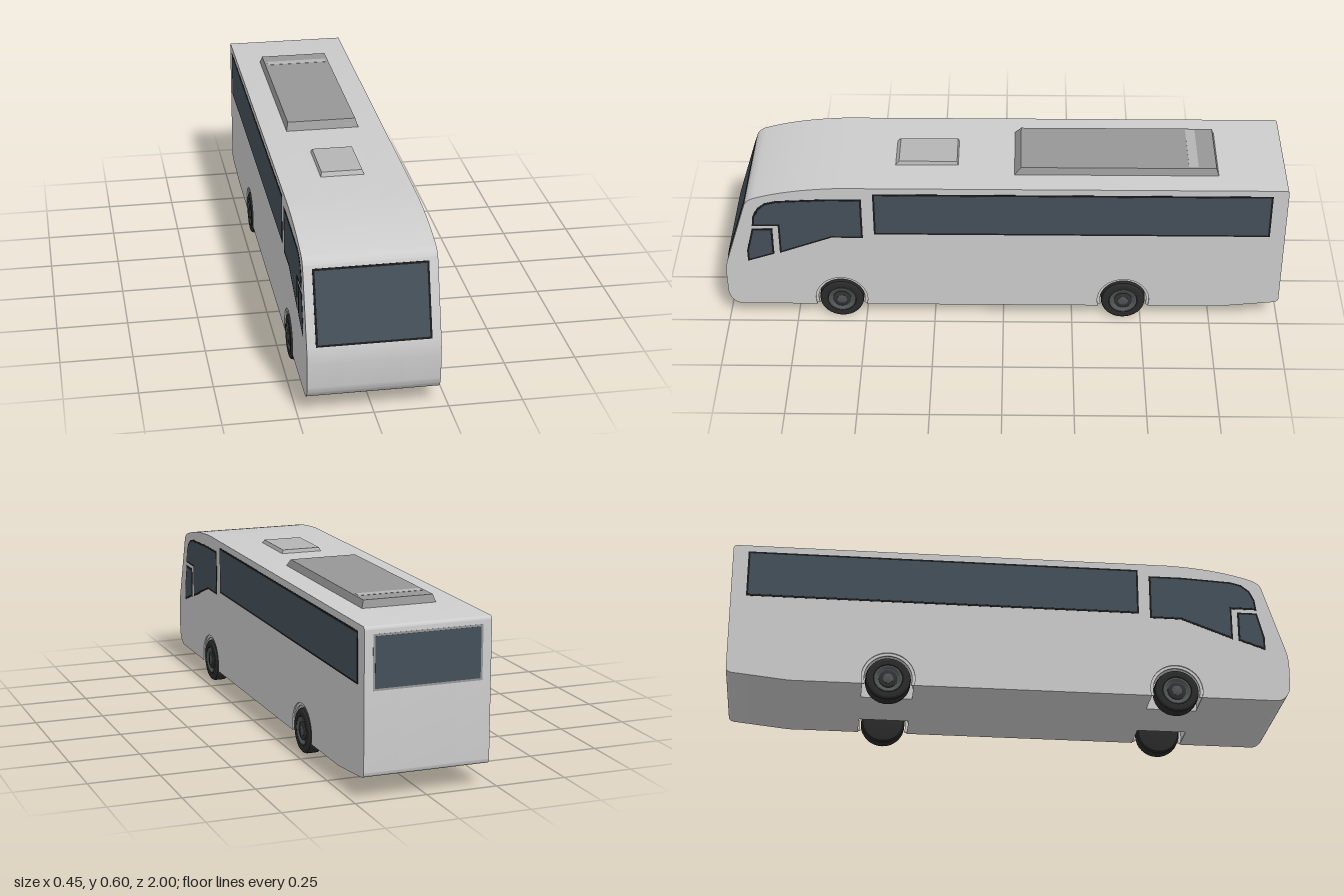
import * as THREE from 'three';
import { toCreasedNormals } from 'three/addons/utils/BufferGeometryUtils.js';

const mat = (color) => new THREE.MeshStandardMaterial({ color });
const BODY = mat(0xcccccc), GLASS = mat(0x444f59), TRIM = mat(0x1b1b1b), TYRE = mat(0x2a2a2a);
const RIM = mat(0x505454), HUB = mat(0x303232), POD = mat(0x969696), HATCH = mat(0xb4b4b4);

const HALF = 0.221, FLOOR = 0.06;
const AXLES = [-0.435, 0.588];
const ARCH_Y = 0.087, ARCH_R = 0.094;

function mesh(name, geometry, material, parent) {
  const m = new THREE.Mesh(geometry, material);
  m.name = name;
  parent.add(m);
  return m;
}

// Extrudes a (z, y) side outline across the width, from x0 to x1
function sideSlab(shape, x0, x1) {
  const g = new THREE.ExtrudeGeometry(shape, { depth: x1 - x0, bevelEnabled: false, curveSegments: 24 });
  g.rotateY(-Math.PI / 2);
  g.translate(x1, 0, 0);
  return toCreasedNormals(g, 0.4);
}

// Body side outline, with or without wheel arches
function bodyShape(arches) {
  const s = new THREE.Shape();
  s.moveTo(-0.78, FLOOR);
  if (arches) {
    const dip = Math.asin((ARCH_Y - FLOOR) / ARCH_R);
    for (const z of AXLES) {
      s.lineTo(z - ARCH_R * Math.cos(dip), FLOOR);
      s.absarc(z, ARCH_Y, ARCH_R, Math.PI + dip, -dip, true);
    }
  }
  s.lineTo(0.95, FLOOR);
  s.bezierCurveTo(0.975, 0.062, 0.997, 0.085, 0.999, 0.12);
  s.lineTo(1, 0.2);
  s.quadraticCurveTo(0.999, 0.235, 0.99, 0.262);
  s.lineTo(0.915, 0.5);
  s.quadraticCurveTo(0.908, 0.524, 0.88, 0.534);
  s.quadraticCurveTo(0.76, 0.573, 0.58, 0.58);
  s.lineTo(-0.985, 0.58);
  s.quadraticCurveTo(-0.999, 0.58, -0.999, 0.566);
  s.lineTo(-0.999, 0.1);
  s.quadraticCurveTo(-0.999, 0.085, -0.98, 0.081);
  s.closePath();
  return s;
}

// Moves every edge of a counter-clockwise outline inwards by d
function inset(pts, d) {
  const n = pts.length;
  const normal = (a, b) => new THREE.Vector2(a.y - b.y, b.x - a.x).normalize();
  return pts.map((p, i) => {
    const n1 = normal(pts[(i + n - 1) % n], p), n2 = normal(p, pts[(i + 1) % n]);
    return n1.clone().add(n2).multiplyScalar(d / (1 + n1.dot(n2))).add(p);
  });
}

// Dark frame with a glass pane, on both sides of the body
function sideWindow(name, coords, parent) {
  const pts = coords.map(([z, y]) => new THREE.Vector2(z, y));
  for (const side of [1, -1]) {
    const window = new THREE.Group();
    window.name = (side > 0 ? 'left' : 'right') + name;
    for (const [part, d, out, m] of [['frame', 0, 0.0008, TRIM], ['glass', 0.007, 0.0014, GLASS]]) {
      const a = HALF - 0.002, b = HALF + out;
      const g = sideSlab(new THREE.Shape(d ? inset(pts, d) : pts), side > 0 ? a : -b, side > 0 ? b : -a);
      mesh(part, g, m, window);
    }
    parent.add(window);
  }
}

// Flat framed pane across the width, facing +z
function endWindow(name, w, h, frameMaterial, parent) {
  const window = new THREE.Group();
  window.name = name;
  mesh('frame', new THREE.BoxGeometry(w, h, 0.004), frameMaterial, window);
  mesh('glass', new THREE.BoxGeometry(w - 0.014, h - 0.014, 0.0052), GLASS, window);
  parent.add(window);
  return window;
}

// Roof box whose upper face is drawn in from the base
function roofBox(name, halfW, back, front, top, slope, material, parent) {
  const y0 = 0.576;
  const g = new THREE.BoxGeometry(2 * halfW, top - y0, front - back);
  g.translate(0, (top + y0) / 2, (front + back) / 2);
  const p = g.attributes.position;
  for (let i = 0; i < p.count; i++) {
    if (p.getY(i) < y0 + 0.001) continue;
    p.setX(i, p.getX(i) - Math.sign(p.getX(i)) * slope.side);
    p.setZ(i, p.getZ(i) > (front + back) / 2 ? front - slope.front : back + slope.back);
  }
  g.computeVertexNormals();
  mesh(name, g, material, parent);
}

// Turned part around the x axis from [radius, x] points
function turned(points) {
  const g = new THREE.LatheGeometry(points.map(([r, x]) => new THREE.Vector2(r, x)), 32);
  g.rotateZ(-Math.PI / 2);
  return toCreasedNormals(g, 0.5);
}

function makeWheel(name) {
  const wheel = new THREE.Group();
  wheel.name = name;
  mesh('tyre', turned([[0, -0.028], [0.066, -0.028], [0.074, -0.026], [0.079, -0.02], [0.08, -0.012],
    [0.08, 0.014], [0.078, 0.022], [0.072, 0.027], [0.064, 0.0285], [0.052, 0.027], [0.049, 0.018], [0, 0.018]]), TYRE, wheel);
  mesh('rim', turned([[0.05, 0.015], [0.05, 0.027], [0.045, 0.027], [0.036, 0.021], [0, 0.021]]), RIM, wheel);
  mesh('hubRing', turned([[0.033, 0.018], [0.033, 0.024], [0.029, 0.026], [0, 0.026]]), HUB, wheel);
  mesh('hubCap', turned([[0.018, 0.02], [0.018, 0.027], [0.014, 0.0285], [0, 0.0285]]), RIM, wheel);
  return wheel;
}

export function createModel() {
  const bus = new THREE.Group();
  bus.name = 'coach';

  // Body: solid core with arched outer thirds, leaving wheel pockets
  const CORE = 0.1;
  mesh('bodyCore', sideSlab(bodyShape(false), -CORE, CORE), BODY, bus);
  mesh('bodyLeft', sideSlab(bodyShape(true), CORE, HALF), BODY, bus);
  mesh('bodyRight', sideSlab(bodyShape(true), -HALF, -CORE), BODY, bus);

  // Side glazing
  sideWindow('PassengerWindow', [[-0.945, 0.38], [0.46, 0.38], [0.46, 0.556], [-0.945, 0.556]], bus);
  sideWindow('CabWindow', [[0.5, 0.364], [0.612, 0.364], [0.8, 0.294], [0.8, 0.415], [0.892, 0.415],
    [0.887, 0.455], [0.87, 0.49], [0.84, 0.514], [0.8, 0.524], [0.62, 0.533], [0.5, 0.533]], bus);
  sideWindow('QuarterWindow', [[0.917, 0.257], [0.82, 0.29], [0.82, 0.402], [0.893, 0.402], [0.917, 0.305]].reverse()
    .reverse().map((_, i, a) => a[(a.length - i) % a.length]), bus);

  // Windscreen and rear window
  const screen = endWindow('windscreen', 0.382, 0.256, TRIM, bus);
  screen.position.set(0, 0.378, 0.9535);
  screen.rotation.x = -Math.atan2(0.075, 0.238);
  const rear = endWindow('rearWindow', 0.382, 0.186, POD, bus);
  rear.position.set(0, 0.462, -0.9975);
  rear.rotation.y = Math.PI;

  // Roof equipment
  roofBox('airConditioner', 0.133, -0.76, -0.035, 0.606, { side: 0.009, front: 0.026, back: 0.01 }, POD, bus);
  const strip = mesh('airConditionerStrip', new THREE.BoxGeometry(0.23, 0.002, 0.034), HATCH, bus);
  strip.position.set(0, 0.6058, -0.67);
  roofBox('roofHatch', 0.077, 0.16, 0.388, 0.593, { side: 0.006, front: 0.016, back: 0.006 }, HATCH, bus);

  // Wheels and arch lips
  AXLES.forEach((z, i) => {
    for (const side of [1, -1]) {
      const label = (i ? 'front' : 'rear') + (side > 0 ? 'Left' : 'Right');
      const wheel = makeWheel(label + 'Wheel');
      wheel.position.set(side * 0.195, 0.083, z);
      if (side < 0) wheel.rotation.y = Math.PI;
      bus.add(wheel);

      const lip = new THREE.Shape();
      lip.absarc(z, ARCH_Y, ARCH_R + 0.001, -0.28, Math.PI + 0.28, false);
      lip.absarc(z, ARCH_Y, ARCH_R - 0.01, Math.PI + 0.28, -0.28, true);
      const x = side > 0 ? 0.21 : -0.216;
      mesh(label + 'ArchLip', sideSlab(lip, x, x + 0.006), BODY, bus);
    }
  });
  return bus;
}
